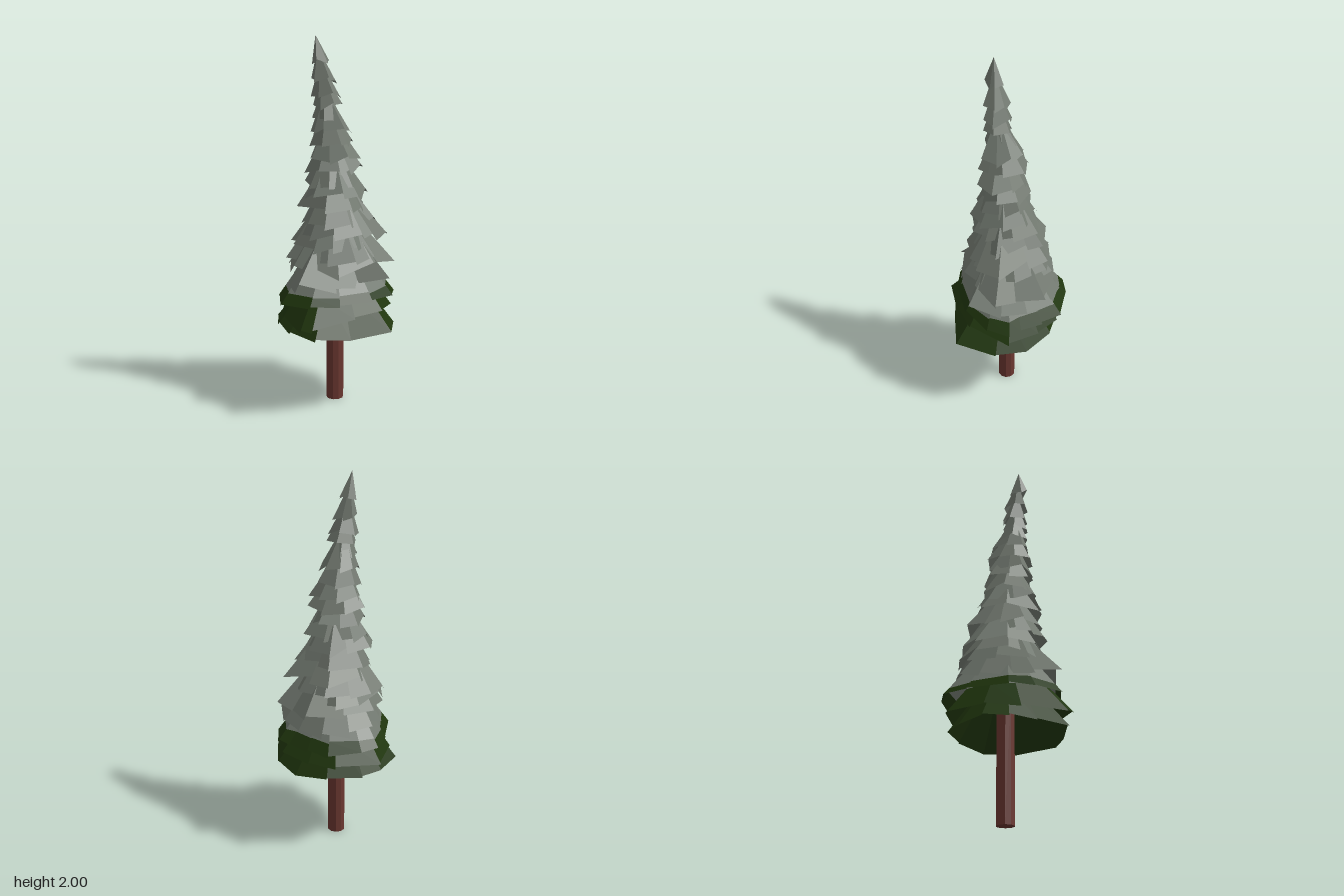
import * as THREE from 'three';

const frost = new THREE.MeshStandardMaterial({ color: 0x727970 });
const needle = new THREE.MeshStandardMaterial({ color: 0x20360e });
const bark = new THREE.MeshStandardMaterial({ color: 0x6a3730 });
frost.name = 'frost grey';
needle.name = 'needle green';
bark.name = 'bark brown';
for (const m of [frost, needle]) { m.flatShading = true; m.side = THREE.DoubleSide; }
bark.flatShading = true;

let seed = 7;
const rand = () => (seed = (seed * 16807) % 2147483647) / 2147483647;

// Rims of the wide lower tiers: corners as x, y, z
const greenRims = [
  [[0.35, 0.475, -0.09], [0.25, 0.45, 0.11], [0.16, 0.46, 0.28], [-0.04, 0.45, 0.29], [-0.18, 0.455, 0.255],
    [-0.285, 0.46, 0.175], [-0.31, 0.455, 0.00], [-0.29, 0.46, -0.14], [-0.15, 0.46, -0.27],
    [0.03, 0.44, -0.31], [0.20, 0.45, -0.26]],
  [[0.27, 0.57, -0.10], [0.25, 0.56, 0.08], [0.17, 0.52, 0.31], [0.11, 0.51, 0.34], [-0.12, 0.51, 0.27],
    [-0.26, 0.53, 0.15], [-0.35, 0.525, -0.06], [-0.20, 0.53, -0.26], [-0.05, 0.53, -0.30], [0.14, 0.53, -0.30]],
  [[0.26, 0.63, -0.04], [0.21, 0.63, 0.15], [0.12, 0.63, 0.28], [-0.07, 0.61, 0.32], [-0.18, 0.62, 0.25],
    [-0.30, 0.63, 0.05], [-0.35, 0.635, -0.09], [-0.31, 0.63, -0.18], [-0.19, 0.61, -0.31], [-0.06, 0.61, -0.32],
    [0.07, 0.61, -0.31], [0.145, 0.61, -0.315], [0.23, 0.62, -0.22]],
];
const frostRims = [
  [[0.29, 0.75, -0.13], [0.20, 0.70, 0.00], [0.18, 0.70, 0.15], [0.075, 0.72, 0.34], [-0.05, 0.69, 0.29],
    [-0.14, 0.68, 0.22], [-0.25, 0.70, 0.08], [-0.29, 0.73, -0.06], [-0.25, 0.70, -0.20], [-0.14, 0.70, -0.30],
    [0.02, 0.70, -0.29], [0.16, 0.70, -0.25]],
  [[0.22, 0.83, -0.08], [0.19, 0.77, 0.14], [0.06, 0.80, 0.22], [-0.06, 0.78, 0.26], [-0.20, 0.78, 0.16],
    [-0.27, 0.80, -0.02], [-0.21, 0.80, -0.20], [-0.06, 0.80, -0.34], [0.08, 0.79, -0.27], [0.20, 0.80, -0.26]],
];

// Upper tiers: rim height, centre x, centre z, largest rim radius
const upperTiers = [
  [0.84, -0.03, -0.02, 0.255], [0.90, -0.04, -0.03, 0.25], [0.96, 0.01, -0.04, 0.24], [1.03, -0.02, -0.02, 0.215],
  [1.10, -0.02, -0.02, 0.20], [1.17, -0.01, -0.01, 0.18], [1.24, -0.01, 0.00, 0.16], [1.31, -0.01, -0.01, 0.155],
  [1.37, -0.01, 0.00, 0.145], [1.44, -0.01, 0.01, 0.13], [1.51, -0.01, 0.01, 0.12], [1.57, -0.01, 0.03, 0.10],
  [1.64, -0.01, 0.045, 0.085], [1.70, -0.01, 0.055, 0.08], [1.77, -0.01, 0.07, 0.07], [1.87, -0.015, 0.09, 0.055],
];
const FROST_LINE = 0.675;

// Centre line of the leaning crown
const spine = new THREE.CatmullRomCurve3([
  [-0.01, 0.45, 0.01], [-0.02, 0.85, -0.02], [-0.02, 1.2, -0.01], [-0.01, 1.5, 0.015],
  [-0.01, 1.75, 0.06], [-0.02, 2.0, 0.11],
].map(p => new THREE.Vector3(...p))).getPoints(80);
const centreAt = y => spine.reduce((a, b) => Math.abs(b.y - y) < Math.abs(a.y - y) ? b : a);

// Ragged rim of an upper tier
function raggedRim([y, cx, cz, r]) {
  const count = r > 0.2 ? 10 : r > 0.11 ? 8 : 6;
  const turn = rand() * Math.PI * 2;
  return Array.from({ length: count }, (_, i) => {
    const angle = turn + (i + (rand() - 0.5) * 0.5) * Math.PI * 2 / count;
    const k = r * (0.82 + 0.23 * rand());
    return [cx + Math.sin(angle) * k, y + (rand() - 0.5) * 0.035, cz + Math.cos(angle) * k];
  });
}

function meshFrom(points, material, name) {
  const g = new THREE.BufferGeometry().setFromPoints(points);
  g.computeVertexNormals();
  const mesh = new THREE.Mesh(g, material);
  mesh.name = name;
  return mesh;
}

// One tier: stepped panels hung from a shared apex, green below the frost line
function boughTier(rim, index) {
  const group = new THREE.Group();
  group.name = 'boughTier' + (index + 1);
  const green = [], grey = [];
  const corners = rim.map(p => new THREE.Vector3(...p));
  const y = corners.reduce((s, p) => s + p.y, 0) / corners.length;
  const centre = centreAt(y);
  const r = corners.reduce((s, p) => s + Math.hypot(p.x - centre.x, p.z - centre.z), 0) / corners.length;
  const top = Math.min(2, y + 0.1 + r * 1.05);
  const c = centreAt(top);
  const apex = new THREE.Vector3(c.x, top, c.z);
  const step = y > FROST_LINE ? 0.1 : 0.03;
  corners.forEach((a, i) => {
    const b = corners[(i + 1) % corners.length].clone().lerp(apex, rand() * step);
    if (y > FROST_LINE) { grey.push(a, b, apex); return; }
    const split = p => p.clone().lerp(apex, (FROST_LINE + (rand() - 0.5) * 0.015 - p.y) / (top - p.y));
    const sa = split(a), sb = split(b);
    green.push(a, b, sb, a, sb, sa);
    grey.push(sa, sb, apex);
  });
  if (green.length) group.add(meshFrom(green, needle, 'greenBoughs'));
  group.add(meshFrom(grey, frost, 'frostedBoughs'));
  return group;
}

export function createModel() {
  seed = 7;
  const tree = new THREE.Group();
  tree.name = 'tree';

  // Trunk
  const trunk = new THREE.Mesh(new THREE.CylinderGeometry(0.048, 0.048, 0.7, 10), bark);
  trunk.name = 'trunk';
  trunk.position.set(-0.019, 0.35, -0.02);
  tree.add(trunk);

  // Crown
  const crown = new THREE.Group();
  crown.name = 'crown';
  const rims = [...greenRims, ...frostRims, ...upperTiers.map(raggedRim)];
  rims.forEach((rim, i) => crown.add(boughTier(rim, i)));
  tree.add(crown);
  return tree;
}
